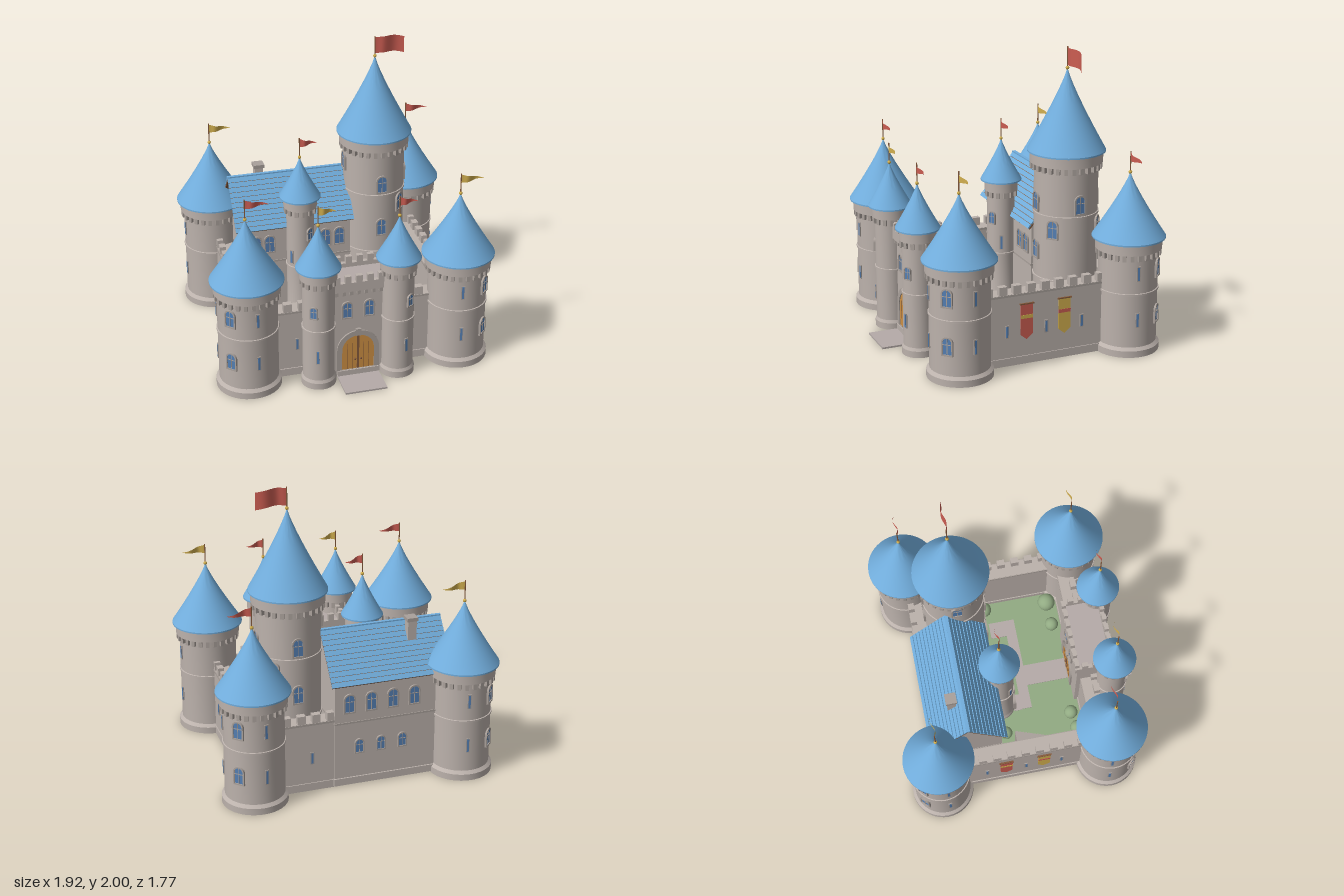
import * as THREE from 'three';
import { mergeGeometries, toCreasedNormals } from 'three/addons/utils/BufferGeometryUtils.js';

const mat = (name, color, side = THREE.FrontSide) => {
  const m = new THREE.MeshStandardMaterial({ color, side });
  m.name = name;
  return m;
};

export function createModel() {
  const stone = mat('stone', 0xbcb2ac), trim = mat('trim stone', 0xaaa19b), paving = mat('paving', 0xb5aba8);
  const blue = mat('roof blue', 0x72aedd), glass = mat('window glass', 0x5580b4), wood = mat('door wood', 0xcf9144);
  const brown = mat('dark wood', 0x855a3c), grass = mat('grass', 0x92ab83);
  const red = mat('red cloth', 0xcb5d52, THREE.DoubleSide), gold = mat('gold cloth', 0xd3b04f, THREE.DoubleSide);
  const root = new THREE.Group();
  root.name = 'castle';

  const group = (name, parent = root) => {
    const g = new THREE.Group();
    g.name = name;
    parent.add(g);
    return g;
  };
  const add = (parent, name, geo, material, x = 0, y = 0, z = 0) => {
    const m = new THREE.Mesh(geo, material);
    m.name = name;
    m.position.set(x, y, z);
    parent.add(m);
    return m;
  };
  const box = (parent, name, material, w, h, d, x, y, z) =>
    add(parent, name, new THREE.BoxGeometry(w, h, d), material, x, y, z);
  const lathe = (pts, seg = 40) =>
    toCreasedNormals(new THREE.LatheGeometry(pts.map(p => new THREE.Vector2(p[0], p[1])), seg), 0.45);
  const arch = (w, h, Kind = THREE.Shape, y = 0) => {
    const s = new Kind();
    s.moveTo(-w / 2, y);
    s.lineTo(w / 2, y);
    s.lineTo(w / 2, h - w / 2);
    s.absarc(0, h - w / 2, w / 2, 0, Math.PI, false);
    s.closePath();
    return s;
  };
  const extrude = (shape, depth) => new THREE.ExtrudeGeometry(shape, { depth, bevelEnabled: false, curveSegments: 10 });

  // Arched opening: raised frame with a thin pane or door leaf; local +z faces out
  function opening(parent, name, x, y, z, turn, w, h, leaf = glass) {
    const g = group(name, parent);
    g.position.set(x, y, z);
    g.rotation.y = turn;
    const b = Math.min(0.035, w * 0.16), door = leaf === wood;
    const outer = arch(w + 2 * b, h + b, THREE.Shape, door ? 0 : -b);
    outer.holes.push(arch(w, h, THREE.Path, door ? 0.001 : 0));
    add(g, 'frame', extrude(outer, 0.024), trim, 0, 0, -0.014);
    add(g, 'pane', extrude(arch(w, h), 0.008), leaf, 0, 0, -0.004);
    box(g, 'centreBar', door ? brown : trim, w * 0.07, h * 0.98, 0.004, 0, h * 0.49, 0.005);
    if (!door) box(g, 'crossBar', trim, w, w * 0.07, 0.004, 0, h * 0.6, 0.005);
    return g;
  }
  const slit = (parent, x, y, z, turn, h = 0.09) => {
    const g = group('arrowSlit', parent);
    g.position.set(x, y, z);
    g.rotation.y = turn;
    box(g, 'slitFrame', trim, 0.026, h + 0.012, 0.012, 0, h / 2, 0);
    box(g, 'slitPane', glass, 0.014, h, 0.006, 0, h / 2, 0.005);
  };

  // Cloth rippling along its length, either tapering to a point or square
  function flag(parent, material, L, h, y, point) {
    const geo = new THREE.PlaneGeometry(L, h, 14, 1).translate(L / 2, 0, 0), p = geo.attributes.position;
    for (let i = 0; i < p.count; i++) {
      const t = p.getX(i) / L;
      p.setZ(i, 0.012 * Math.sin(t * 6.5) * Math.min(1, t * 4));
      p.setY(i, p.getY(i) * (point ? 1 - t * 0.97 : 1) - 0.012 * t + (point ? 0 : 0.01 * Math.sin(t * 3.1)));
    }
    geo.computeVertexNormals();
    add(parent, 'flag', geo, material, 0, y, 0);
  }

  // Round tower: plinth, string courses, corbelled crown, flared roof, pole
  function tower(name, x, z, o) {
    const g = group(name), { r, crown: c, roofY, roofR, apex, y0 = 0 } = o;
    g.position.set(x, 0, z);
    const pts = [[0, y0], [r * 1.1, y0], [r * 1.1, 0.045], [r, 0.065]];
    for (const y of o.courses) pts.push([r, y - 0.008], [r + 0.007, y - 0.006], [r + 0.007, y + 0.006], [r, y + 0.008]);
    pts.push([r, roofY - 0.07], [c, roofY - 0.07], [c, roofY + 0.002], [0, roofY + 0.002]);
    add(g, 'body', lathe(pts), stone);
    const n = Math.round(2 * Math.PI * r / 0.048), d = c - r + 0.012, teeth = [];
    for (let i = 0; i < n; i++)
      teeth.push(new THREE.BoxGeometry(0.024, 0.042, d).translate(0, roofY - 0.09, c - 0.003 - d / 2).rotateY(i / n * 2 * Math.PI));
    add(g, 'corbels', mergeGeometries(teeth), trim);
    const roof = [[0, roofY], [roofR, roofY], [roofR, roofY + 0.01]];
    for (let i = 1; i <= 10; i++) roof.push([roofR * Math.pow(1 - i / 10, 1.17), roofY + 0.01 + (apex - roofY - 0.01) * i / 10]);
    add(g, 'roof', lathe(roof, 48), blue);
    add(g, 'finial', new THREE.SphereGeometry(0.012, 12, 8), gold, 0, apex, 0);
    add(g, 'pole', new THREE.CylinderGeometry(0.004, 0.004, o.pole - apex + 0.03, 8), brown, 0, (o.pole + apex - 0.03) / 2, 0);
    if (o.big) flag(g, o.cloth, 0.205, 0.115, o.pole - 0.065, false);
    else flag(g, o.cloth, o.len || 0.155, 0.06, o.pole - 0.036, true);
    const polar = (a, f) => f(r * Math.sin(a), r * Math.cos(a), a);
    for (const [a, y, w, h] of o.windows || []) polar(a, (px, pz, t) => opening(g, 'window', px, y, pz, t, w, h));
    for (const [a, y] of o.slits || []) polar(a, (px, pz, t) => slit(g, px, y, pz, t));
    return g;
  }

  // Corner towers, windows on the outward diagonal
  for (const sx of [-1, 1]) for (const sz of [-1, 1]) {
    const a = Math.atan2(sx, sz);
    tower('cornerTower', sx * 0.717, sz > 0 ? 0.556 : -0.641, {
      r: 0.198, crown: 0.221, roofY: 0.775, roofR: 0.243, apex: 1.21, pole: 1.35, courses: [0.43],
      cloth: sx * sz > 0 ? gold : red,
      windows: [[a, 0.53, 0.06, 0.11], [a, 0.21, 0.06, 0.11]],
      slits: [-0.92, 0.92].flatMap(d => [[a + d, 0.53], [a + d, 0.21]]),
    });
  }
  // Gate towers
  for (const s of [-1, 1])
    tower('gateTower', s * 0.27, 0.667, {
      r: 0.106, crown: 0.123, roofY: 0.86, roofR: 0.148, apex: 1.165, pole: 1.3, courses: [0.43], len: 0.12,
      cloth: s < 0 ? gold : red, windows: [[s * 0.53, 0.54, 0.042, 0.08]], slits: [[s * 0.28, 0.2]],
    });
  // Great keep and stair turret
  const keep = tower('keep', 0.39, -0.337, {
    r: 0.213, crown: 0.243, roofY: 1.31, roofR: 0.26, apex: 1.86, pole: 2, y0: 0.01, courses: [0.46, 0.9], big: true, cloth: red,
    windows: [[0, 0.6], [0, 0.93], [Math.PI / 2, 0.93], [0.72, 0.76], [Math.PI, 0.93], [Math.PI, 0.6], [2.4, 0.76], [-Math.PI / 2, 1.05]]
      .map(([a, y]) => [a, y, 0.062, 0.115]),
  });
  opening(keep, 'keepDoor', 0, 0.02, 0.219, 0, 0.1, 0.2, wood);
  const turret = tower('stairTurret', -0.195, -0.122, {
    r: 0.096, crown: 0.115, roofY: 0.975, roofR: 0.141, apex: 1.27, pole: 1.41, y0: 0.01, courses: [0.46], len: 0.12,
    cloth: red, windows: [[0.5, 0.68, 0.042, 0.08], [0, 0.35, 0.042, 0.08]], slits: [[1.2, 0.5], [-0.9, 0.5]],
  });
  opening(turret, 'turretDoor', 0, 0.02, 0.102, 0, 0.07, 0.16, wood);

  // Curtain walls: local x runs along the wall, +z faces outward
  function curtain(name, x, z, turn, len, slits) {
    const g = group(name);
    g.position.set(x, 0, z);
    g.rotation.y = turn;
    box(g, 'wall', stone, len, 0.49, 0.11, 0, 0.245, 0);
    box(g, 'plinth', stone, len, 0.054, 0.124, 0, 0.028, 0);
    box(g, 'course', trim, len, 0.014, 0.12, 0, 0.482, 0);
    const n = Math.floor(len / 2 / 0.1);
    for (let i = -n; i <= n; i++) box(g, 'merlon', stone, 0.055, 0.06, 0.042, i * 0.1, 0.517, 0.036);
    for (const s of slits) slit(g, s, 0.2, 0.056, 0, 0.075);
    return g;
  }
  function banner(parent, x, cloth, band) {
    const g = group('banner', parent), s = new THREE.Shape();
    g.position.set(x, 0, 0.058);
    [[-0.043, 0.415], [-0.043, 0.205], [0, 0.17], [0.043, 0.205], [0.043, 0.415]].forEach(([px, y]) => s.lineTo(px, y));
    s.currentPoint.set(0, 0);
    const shape = new THREE.Shape([[-0.043, 0.415], [-0.043, 0.205], [0, 0.17], [0.043, 0.205], [0.043, 0.415]].map(p => new THREE.Vector2(...p)));
    add(g, 'cloth', extrude(shape, 0.006), cloth);
    box(g, 'band', band, 0.086, 0.024, 0.003, 0, 0.328, 0.007);
    box(g, 'rod', brown, 0.1, 0.008, 0.012, 0, 0.416, 0.004);
  }
  for (const s of [-1, 1]) {
    const side = curtain('sideWall', s * 0.67, -0.04, s * Math.PI / 2, 1.15, [-0.275, 0.005, 0.26]);
    banner(side, -0.137, red, gold);
    banner(side, 0.133, gold, red);
    curtain('frontWall', s * 0.45, 0.505, 0, 0.5, [-s * 0.06]);
  }
  curtain('backWall', 0, -0.597, Math.PI, 1.3, [-0.33]);

  // Gatehouse
  const gate = group('gatehouse');
  box(gate, 'block', stone, 0.5, 0.68, 0.24, 0, 0.34, 0.54);
  box(gate, 'deck', paving, 0.5, 0.02, 0.27, 0, 0.685, 0.545);
  for (const [z, f] of [[0.674, 1], [0.416, -1]]) {
    box(gate, 'parapet', stone, 0.52, 0.065, 0.03, 0, 0.692, z);
    for (let i = -3; i <= 3; i++) {
      box(gate, 'merlon', stone, 0.042, 0.05, 0.03, i * 0.075, 0.748, z);
      box(gate, 'corbel', trim, 0.022, 0.035, 0.02, i * 0.05, 0.645, z - f * 0.004);
    }
    const turn = f > 0 ? 0 : Math.PI, face = f > 0 ? 0.662 : 0.418;
    for (const x of [-0.075, 0.075]) opening(gate, 'gateWindow', x, 0.455, face, turn, 0.058, 0.11);
    const door = opening(gate, 'gateDoor', 0, 0.05, face, turn, 0.22, 0.26, wood);
    for (const s of [-1, 1]) {
      for (const x of [0.037, 0.073]) box(door, 'plankSeam', brown, 0.003, 0.2, 0.003, s * x, 0.1, 0.004);
      add(door, 'handle', new THREE.SphereGeometry(0.008, 10, 8), brown, s * 0.02, 0.075, 0.007);
    }
    box(door, 'keystone', trim, 0.035, 0.05, 0.034, 0, 0.285, 0);
  }
  for (const s of [-1, 1]) {
    box(gate, 'sideParapet', stone, 0.03, 0.065, 0.26, s * 0.245, 0.692, 0.545);
    for (let i = 0; i < 3; i++) box(gate, 'merlon', stone, 0.03, 0.05, 0.042, s * 0.245, 0.748, 0.47 + i * 0.075);
  }
  box(gate, 'threshold', stone, 0.28, 0.05, 0.03, 0, 0.025, 0.665);
  box(gate, 'forecourt', paving, 0.285, 0.012, 0.28, 0, 0.006, 0.742);

  // Great hall with gables
  const hall = group('hall');
  const section = new THREE.Shape([[0.185, 0.01], [0.665, 0.01], [0.665, 0.735], [0.415, 1.012], [0.185, 0.755]]
    .map(p => new THREE.Vector2(...p)));
  add(hall, 'walls', extrude(section, 0.78).rotateY(Math.PI / 2), stone, -0.6, 0, 0);
  box(hall, 'plinth', stone, 0.79, 0.05, 0.5, -0.21, 0.035, -0.425);
  box(hall, 'course', trim, 0.785, 0.012, 0.49, -0.21, 0.46, -0.425);
  // Roof slopes: dark boarding under overlapping tile rows
  for (const s of [-1, 1]) {
    const slope = group('roofSlope', hall);
    slope.position.set(-0.22, 1.025, -0.415);
    slope.rotation.y = s > 0 ? 0 : Math.PI;
    const pitch = group('pitch', slope);
    pitch.rotation.x = Math.atan2(0.3, 0.26);
    box(pitch, 'boarding', brown, 0.835, 0.014, 0.395, 0, -0.004, 0.1975);
    for (let i = 0; i < 11; i++)
      box(pitch, 'tileRow', blue, 0.84, 0.01, 0.0325, 0, 0.006, 0.018 + i * 0.0361).rotation.x = 0.1;
  }
  box(hall, 'ridge', blue, 0.842, 0.018, 0.024, -0.22, 1.03, -0.415);
  box(hall, 'chimney', stone, 0.06, 0.22, 0.06, -0.405, 0.95, -0.49);
  box(hall, 'chimneyCap', trim, 0.075, 0.025, 0.075, -0.405, 1.067, -0.49);
  for (const x of [0.08, -0.07, -0.22, -0.37]) opening(hall, 'backWindow', x, 0.54, -0.667, Math.PI, 0.062, 0.12);
  for (const x of [0.01, -0.14, -0.29]) opening(hall, 'lowBackWindow', x, 0.24, -0.667, Math.PI, 0.05, 0.09);
  for (const x of [-0.495, -0.4, 0, 0.1]) opening(hall, 'frontWindow', x, 0.54, -0.183, 0, 0.062, 0.12);

  // Courtyard: lawn, paths, wall stairs and bushes
  const yard = group('courtyard');
  box(yard, 'lawn', grass, 1.24, 0.018, 1.02, 0, 0.011, -0.05);
  box(yard, 'crossPath', paving, 0.7, 0.006, 0.075, 0.1, 0.022, 0.068);
  box(yard, 'gatePath', paving, 0.155, 0.006, 0.33, 0, 0.022, 0.265);
  box(yard, 'keepPath', paving, 0.12, 0.006, 0.12, 0.39, 0.022, -0.025);
  box(yard, 'turretPath', paving, 0.12, 0.006, 0.06, -0.195, 0.022, 0.005);
  for (let i = 0; i < 20; i++) {
    const h = 0.47 * (i + 1) / 20;
    box(yard, 'stairStep', trim, 0.075, h, 0.021, -0.578, 0.015 + h / 2, 0.33 - i * 0.021);
  }
  for (const [x, z, r] of [[-0.47, 0.395, 0.05], [-0.35, 0.375, 0.05], [0.35, 0.375, 0.05], [0.525, 0.37, 0.065], [-0.415, -0.12, 0.047], [0.555, -0.1, 0.055]])
    add(yard, 'bush', new THREE.SphereGeometry(r, 16, 12), grass, x, 0.015 + r * 0.8, z);

  return root;
}
